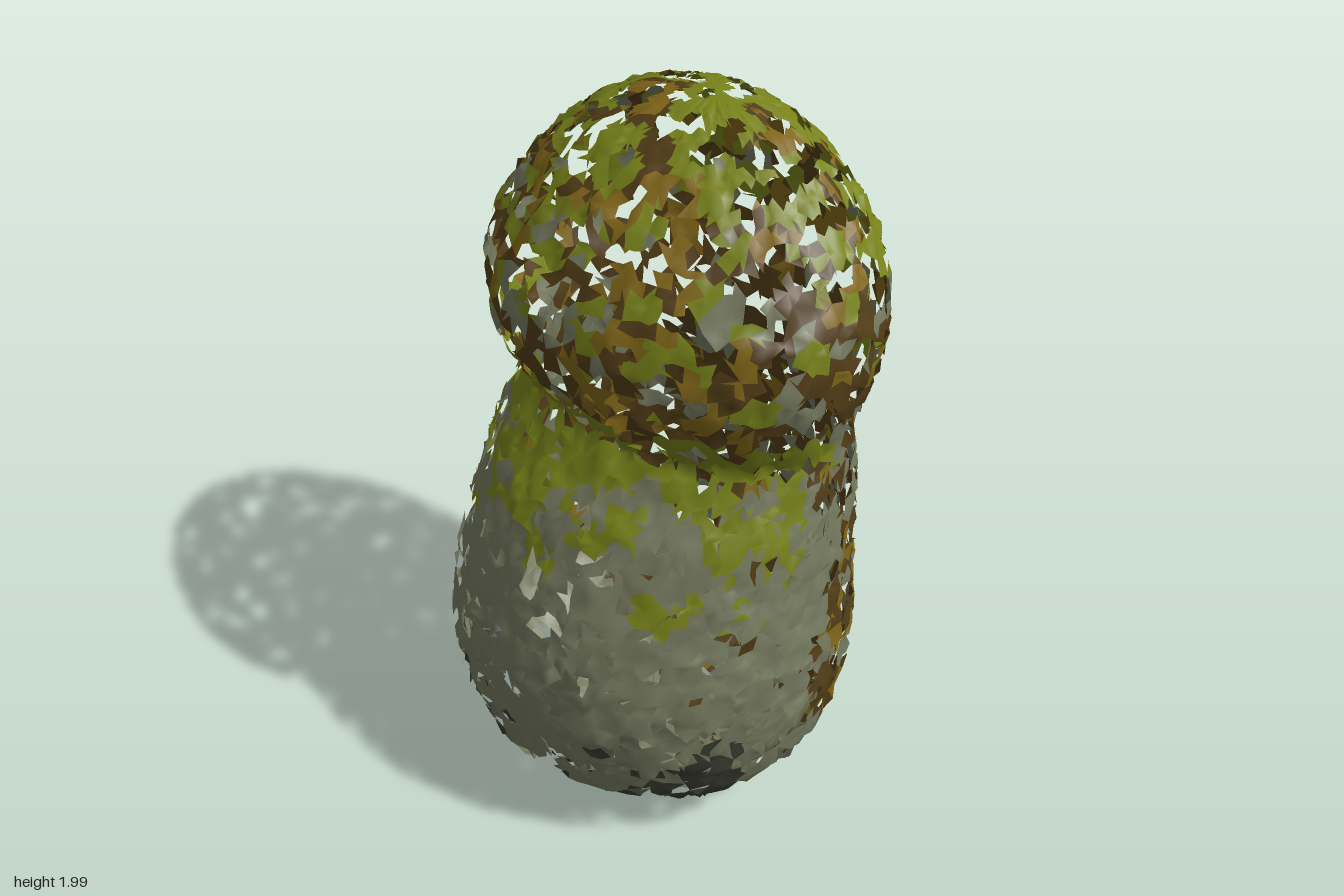
import * as THREE from 'three';

// height, left edge x, right edge x, half depth z
const PROFILE = [
  [0.005, 0.008, 0.01, 0.001], [0.02, -0.14, 0.14, 0.15], [0.05, -0.27, 0.24, 0.29],
  [0.1, -0.4, 0.34, 0.42], [0.2, -0.51, 0.46, 0.53], [0.3, -0.54, 0.52, 0.57],
  [0.45, -0.56, 0.555, 0.588], [0.6, -0.545, 0.555, 0.582], [0.8, -0.475, 0.54, 0.556],
  [1.0, -0.37, 0.52, 0.54], [1.1, -0.29, 0.5, 0.52], [1.2, -0.225, 0.48, 0.508],
  [1.3, -0.3, 0.5, 0.535], [1.4, -0.335, 0.54, 0.568], [1.5, -0.345, 0.555, 0.578],
  [1.6, -0.315, 0.55, 0.568], [1.7, -0.245, 0.528, 0.528], [1.8, -0.16, 0.485, 0.458],
  [1.9, -0.04, 0.415, 0.342], [1.96, 0.06, 0.35, 0.215], [1.985, 0.12, 0.29, 0.12], [1.998, 0.204, 0.206, 0.001],
];
const COLS = 112, ROWS = 98;

// Seeded lattice value in 0..1
function hash(x, y, z, seed) {
  let h = Math.imul(x, 374761393) ^ Math.imul(y, 668265263) ^ Math.imul(z, 1442695041) ^ Math.imul(seed, 974634777);
  h = Math.imul(h ^ (h >>> 13), 1274126177);
  h = Math.imul(h ^ (h >>> 15), 2246822519);
  return ((h ^ (h >>> 16)) >>> 0) / 4294967296;
}

// Smooth 3D noise with the given cell size
function noise(p, cell, seed) {
  const q = [p.x / cell, p.y / cell, p.z / cell];
  const i = q.map(Math.floor);
  const f = q.map((v, k) => (v - i[k]) ** 2 * (3 - 2 * (v - i[k])));
  let sum = 0;
  for (let c = 0; c < 8; c++) {
    const b = [c & 1, (c >> 1) & 1, c >> 2];
    const w = b.reduce((acc, on, k) => acc * (on ? f[k] : 1 - f[k]), 1);
    sum += w * hash(i[0] + b[0], i[1] + b[1], i[2] + b[2], seed);
  }
  return sum;
}

// Profile rows resampled evenly along the outline
function sampleRows(count) {
  const run = [0];
  for (let k = 1; k < PROFILE.length; k++) {
    const a = PROFILE[k - 1], b = PROFILE[k];
    run.push(run[k - 1] + Math.hypot(b[0] - a[0], b[3] - a[3]));
  }
  const rows = [];
  for (let i = 0, k = 1; i <= count; i++) {
    const s = (run[run.length - 1] * i) / count;
    while (k < PROFILE.length - 1 && run[k] < s) k++;
    const t = Math.min(1, (s - run[k - 1]) / (run[k] - run[k - 1]));
    rows.push(PROFILE[k].map((v, n) => THREE.MathUtils.lerp(PROFILE[k - 1][n], v, t)));
  }
  return rows;
}

// Two-lobed grid of crumpled points
function shellPoints(inset, seed) {
  const points = [];
  for (const [y, x0, x1, depth] of sampleRows(ROWS)) {
    const cx = (x0 + x1) / 2, rx = (x1 - x0) / 2;
    for (let j = 0; j < COLS; j++) {
      const i = points.length;
      const a = ((j + (hash(i, 1, 0, seed) - 0.5) * 0.7) / COLS) * Math.PI * 2;
      const r = 1 - inset + (hash(i, 2, 0, seed) - 0.5) * 0.036;
      const dy = (hash(i, 3, 0, seed) - 0.5) * 0.03 * Math.min(1, depth * 2);
      points.push(new THREE.Vector3(
        cx + Math.cos(a) * rx * r,
        THREE.MathUtils.clamp(1 + (y - 1) * (1 - inset * 0.5) + dy, 0, 2),
        Math.sin(a) * depth * r));
    }
  }
  return points;
}

function shellFaces() {
  const faces = [];
  for (let i = 0; i < ROWS; i++) {
    for (let j = 0; j < COLS; j++) {
      const a = i * COLS + j, b = i * COLS + ((j + 1) % COLS);
      const c = a + COLS, d = b + COLS;
      if ((i + j) % 2) faces.push([a, c, b], [b, c, d]);
      else faces.push([a, c, d], [a, d, b]);
    }
  }
  return faces;
}

// Choose the tint of a fragment from its place on the shell
function tintAt(p) {
  const n = noise(p, 0.12, 21) - 0.5;
  const m = noise(p, 0.075, 33);
  const moss = p.y > 1.65 + n * 1.1 || (p.x < -0.02 + n * 0.5 && p.y > 0.88 + n * 0.5 && p.y < 1.34);
  if (p.y < 0.28 + n * 0.4 && p.x < -0.24 + n * 0.4) return 'dark';
  if (moss && m < 0.62) return 'moss';
  if (p.y < 1.15 && p.x < 0.12 + n * 0.6) return 'stone';
  if (m > 0.7) return 'ochre';
  if (m < 0.37) return 'stone';
  return n > 0.22 ? 'moss' : 'bark';
}

const COLORS = { moss: 0x78831a, bark: 0x523d17, stone: 0x767b60, ochre: 0x806618, dark: 0x383c30 };

// One shell with ragged holes, split into tinted fragments
function raggedShell(name, inset, seed, holeAt) {
  const group = new THREE.Group();
  group.name = name;
  const points = shellPoints(inset, seed);
  const all = shellFaces();

  // Normals come from the whole shell so that neighbouring tints blend
  const shell = new THREE.BufferGeometry().setFromPoints(points);
  shell.setIndex(all.flat());
  shell.computeVertexNormals();

  const tinted = { moss: [], bark: [], stone: [], ochre: [], dark: [] };
  const mid = new THREE.Vector3();
  for (const f of all) {
    mid.copy(points[f[0]]).add(points[f[1]]).add(points[f[2]]).divideScalar(3);
    if (noise(mid, 0.047, seed + 2) < holeAt(mid)) continue;
    tinted[tintAt(mid)].push(...f);
  }

  for (const [tint, index] of Object.entries(tinted)) {
    const geometry = new THREE.BufferGeometry();
    geometry.setAttribute('position', shell.getAttribute('position'));
    geometry.setAttribute('normal', shell.getAttribute('normal'));
    geometry.setIndex(index);
    const mesh = new THREE.Mesh(geometry, new THREE.MeshStandardMaterial({
      color: COLORS[tint], side: THREE.DoubleSide }));
    mesh.name = `${tint}Fragments`;
    group.add(mesh);
  }
  return group;
}

export function createModel() {
  const group = new THREE.Group();
  group.name = 'twoLobedShell';
  // Outer net over both lobes, looser around the lower one
  group.add(raggedShell('outerNet', 0, 5, (p) => (p.y < 1.15 ? 0.45 : 0.415)));
  // Inner lining of the lower lobe, ending at the neck and thinner on its left
  group.add(raggedShell('innerLining', 0.06, 11, (p) => {
    if (p.y > 1.18) return 1;
    return p.x < 0.15 || p.y < 0.2 ? 0.3 : 0.4;
  }));
  return group;
}
